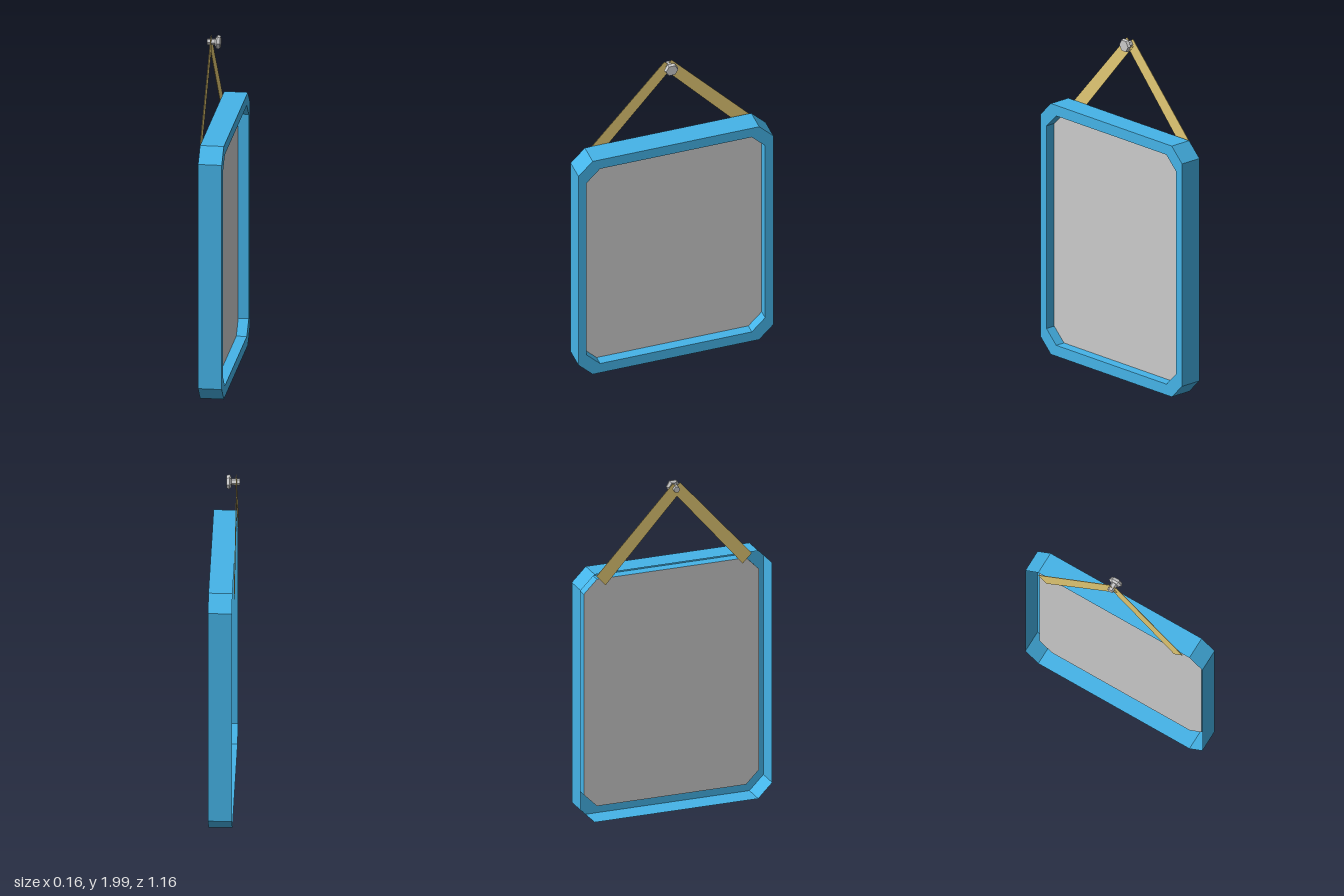
import * as THREE from 'three';

// Chamfered rectangle outline in the side plane (u = -z, v = y), counter-clockwise from +x
function octagon(half, y0, y1, c) {
  return [
    [-half + c, y0], [half - c, y0], [half, y0 + c], [half, y1 - c],
    [half - c, y1], [-half + c, y1], [-half, y1 - c], [-half, y0 + c],
  ];
}

// Faceted skin through a series of closed loops, each { x, pts }
function loft(loops) {
  const pos = [];
  const put = (loop, i) => {
    const [u, v] = loop.pts[i % loop.pts.length];
    pos.push(loop.x, v, -u);
  };
  for (let k = 0; k < loops.length - 1; k++) {
    const a = loops[k], b = loops[k + 1];
    for (let i = 0; i < a.pts.length; i++) {
      put(a, i); put(a, i + 1); put(b, i + 1);
      put(a, i); put(b, i + 1); put(b, i);
    }
  }
  const geo = new THREE.BufferGeometry();
  geo.setAttribute('position', new THREE.Float32BufferAttribute(pos, 3));
  geo.computeVertexNormals();
  return geo;
}

// Flat outline placed in the side plane
function shapeOf(pts) {
  return new THREE.Shape(pts.map(([u, v]) => new THREE.Vector2(u, v)));
}

function material(color, side = THREE.FrontSide) {
  return new THREE.MeshStandardMaterial({ color, side, flatShading: true });
}

export function createModel() {
  const group = new THREE.Group();
  const add = (name, geo, mat) => {
    const mesh = new THREE.Mesh(geo, mat);
    mesh.name = name;
    group.add(mesh);
    return mesh;
  };

  const blue = material(0x45b4e8, THREE.DoubleSide);
  const tan = material(0xe3c974, THREE.DoubleSide);
  const grey = material(0xcccccc, THREE.DoubleSide);

  // Frame: hollow shell open at the back, with a front rim and an inner lip
  const backX = -0.055, frontX = 0.08, panelX = 0.02;
  const outer = octagon(0.582, 0, 1.5, 0.085);
  const inner = octagon(0.533, 0.065, 1.437, 0.08);
  add('frame', loft([
    { x: backX, pts: outer },
    { x: frontX, pts: outer },
    { x: frontX, pts: inner },
    { x: panelX, pts: inner },
  ]), blue);

  // Mirror panel: a single sheet closing the inner lip
  const panel = new THREE.ShapeGeometry(shapeOf(inner));
  panel.rotateY(Math.PI / 2).translate(panelX, 0, 0);
  add('mirrorPanel', panel, grey);

  // Hanging straps: thin strips from the nail down to the back of the frame
  const straps = [
    { name: 'strapFront', x: -0.062, pts: [[-0.455, 1.495], [-0.4, 1.44], [0.03, 1.94], [-0.02, 1.985]] },
    { name: 'strapBack', x: -0.066, pts: [[0.49, 1.49], [0.435, 1.43], [-0.025, 1.935], [0.025, 1.985]] },
  ];
  for (const { name, x, pts } of straps) {
    const strip = new THREE.ExtrudeGeometry(shapeOf(pts), { depth: 0.003, bevelEnabled: false });
    strip.rotateY(Math.PI / 2).translate(x, 0, 0);
    add(name, strip, tan);
  }

  // Nail: six-sided shank and flared head, turned along x
  const profile = [
    [0, -0.083], [0.019, -0.083], [0.019, -0.036], [0.028, -0.036],
    [0.042, -0.026], [0.036, -0.008], [0, -0.008],
  ].map(([r, h]) => new THREE.Vector2(r, h));
  const nail = new THREE.LatheGeometry(profile, 6);
  nail.rotateZ(-Math.PI / 2).translate(0, 1.952, -0.008);
  add('nail', nail, grey);

  return group;
}
